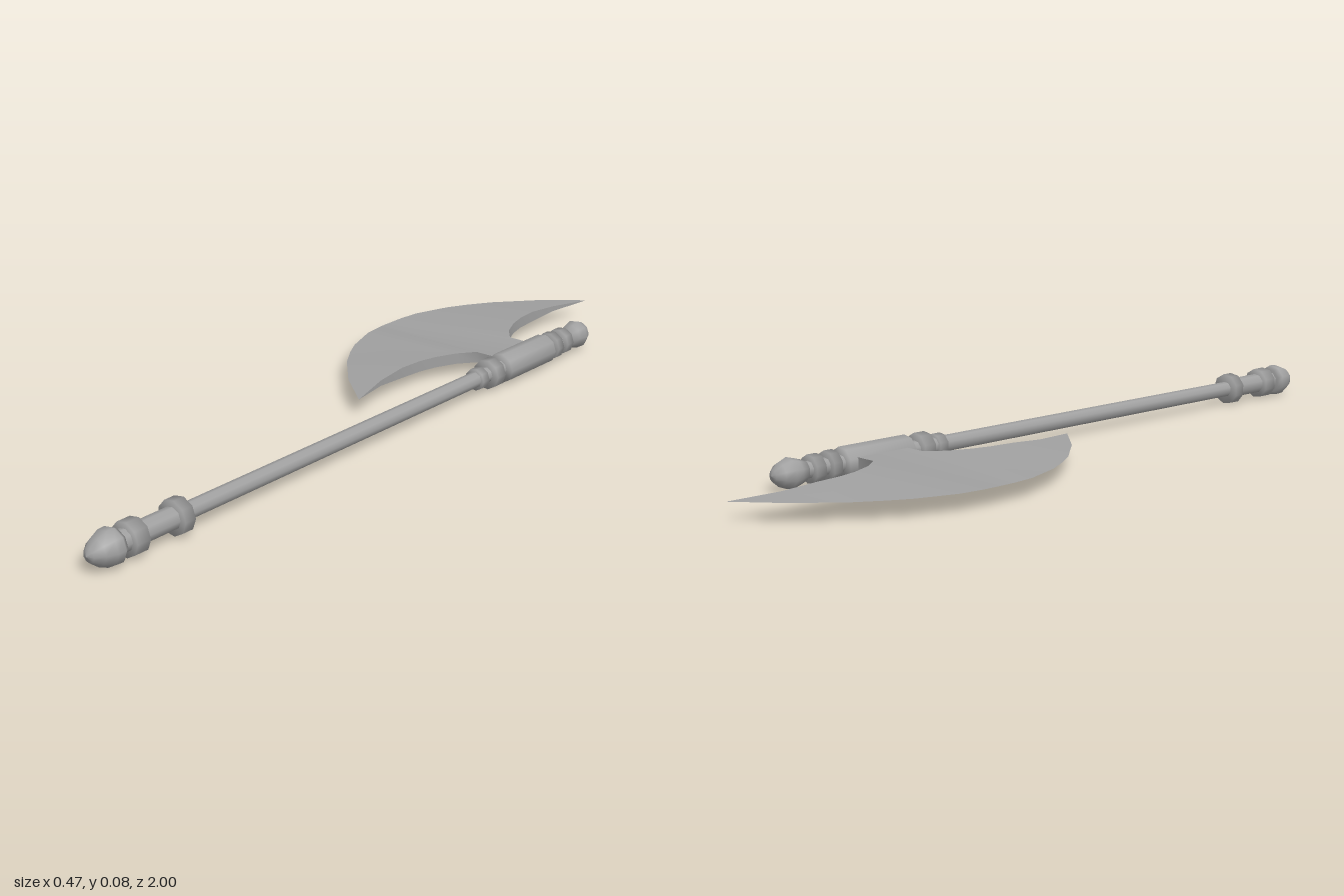
import * as THREE from 'three';
import { toCreasedNormals } from 'three/addons/utils/BufferGeometryUtils.js';

const AXIS_X = 0.193, AXIS_Y = 0.0425, BLADE_Z = -0.505, SIDES = 9;

export function createModel() {
  const group = new THREE.Group();
  const material = new THREE.MeshStandardMaterial({ color: 0xa0a0a0 });

  function add(name, geometry, x, y, z) {
    const mesh = new THREE.Mesh(geometry, material);
    mesh.name = name;
    mesh.position.set(x, y, z);
    group.add(mesh);
  }

  // Smooth nine-sided turned part along z; profile is [z, radius] with z increasing
  function turned(name, profile) {
    const points = profile.map(([z, r]) => new THREE.Vector2(r, z));
    const geometry = new THREE.LatheGeometry(points, SIDES, Math.PI / 2).rotateX(Math.PI / 2);
    add(name, geometry, AXIS_X, AXIS_Y, 0);
  }

  const band = (name, z0, z1, r) => turned(name, [[z0, 0], [z0, r], [z1, r], [z1, 0]]);

  // Shaft and grip, their ends hidden inside the knobs and rings
  turned('shaft', [[-0.72, 0.02], [0.93, 0.02]]);
  turned('grip', [[0.74, 0.026], [0.93, 0.026]]);

  // Head socket
  band('socket', -0.6, -0.408, 0.0385);

  // Decorative rings
  [
    [-0.69, -0.664, 0.034],
    [-0.643, -0.62, 0.036],
    [-0.38, -0.348, 0.038],
    [-0.325, -0.301, 0.028],
    [0.727, 0.757, 0.041],
    [0.856, 0.893, 0.04],
  ].forEach(([z0, z1, r], i) => band(`ring${i + 1}`, z0, z1, r));

  // End knobs
  turned('topKnob', [
    [-0.791, 0], [-0.787, 0.014], [-0.77, 0.028], [-0.747, 0.037],
    [-0.725, 0.031], [-0.703, 0.024], [-0.703, 0],
  ]);
  turned('pommel', [
    [0.914, 0], [0.914, 0.034], [0.926, 0.042], [0.946, 0.041],
    [0.97, 0.031], [0.99, 0.016], [0.997, 0],
  ]);

  add('blade', bladeGeometry(), 0, 0.0445, BLADE_Z);
  return group;
}

// Crescent wedge with its neck: sharp outer edge, thick inner edge, narrowing to both tips
function bladeGeometry() {
  // Outer x, outer z, inner x, inner z, half thickness of the inner edge
  const half = [
    [0.063, -0.495, 0.063, -0.495, 0],
    [-0.042, -0.408, 0.034, -0.375, 0.007],
    [-0.127, -0.312, 0.029, -0.285, 0.0135],
    [-0.166, -0.252, 0.034, -0.22, 0.014],
    [-0.194, -0.2, 0.046, -0.17, 0.014],
    [-0.227, -0.104, 0.07, -0.115, 0.014],
    [-0.233, -0.05, 0.103, -0.073, 0.014],
    [-0.234, -0.03, 0.17, -0.073, 0.014],
  ];
  const mirrored = half.map(([ox, oz, ix, iz, t]) => [ox, -oz, ix, -iz, t]).reverse();
  const stations = [...half, ...mirrored];

  const positions = [], index = [];
  stations.forEach(([ox, oz, ix, iz, t]) => {
    positions.push(ox, 0, oz, ix, t, iz, ix, -t, iz);
  });
  for (let s = 0; s < stations.length - 1; s++) {
    for (let k = 0; k < 3; k++) {
      const a = s * 3 + k, b = s * 3 + (k + 1) % 3;
      index.push(a, a + 3, b, b, a + 3, b + 3);
    }
  }
  const geometry = new THREE.BufferGeometry();
  geometry.setAttribute('position', new THREE.Float32BufferAttribute(positions, 3));
  geometry.setIndex(index);
  return toCreasedNormals(geometry, 1);
}
